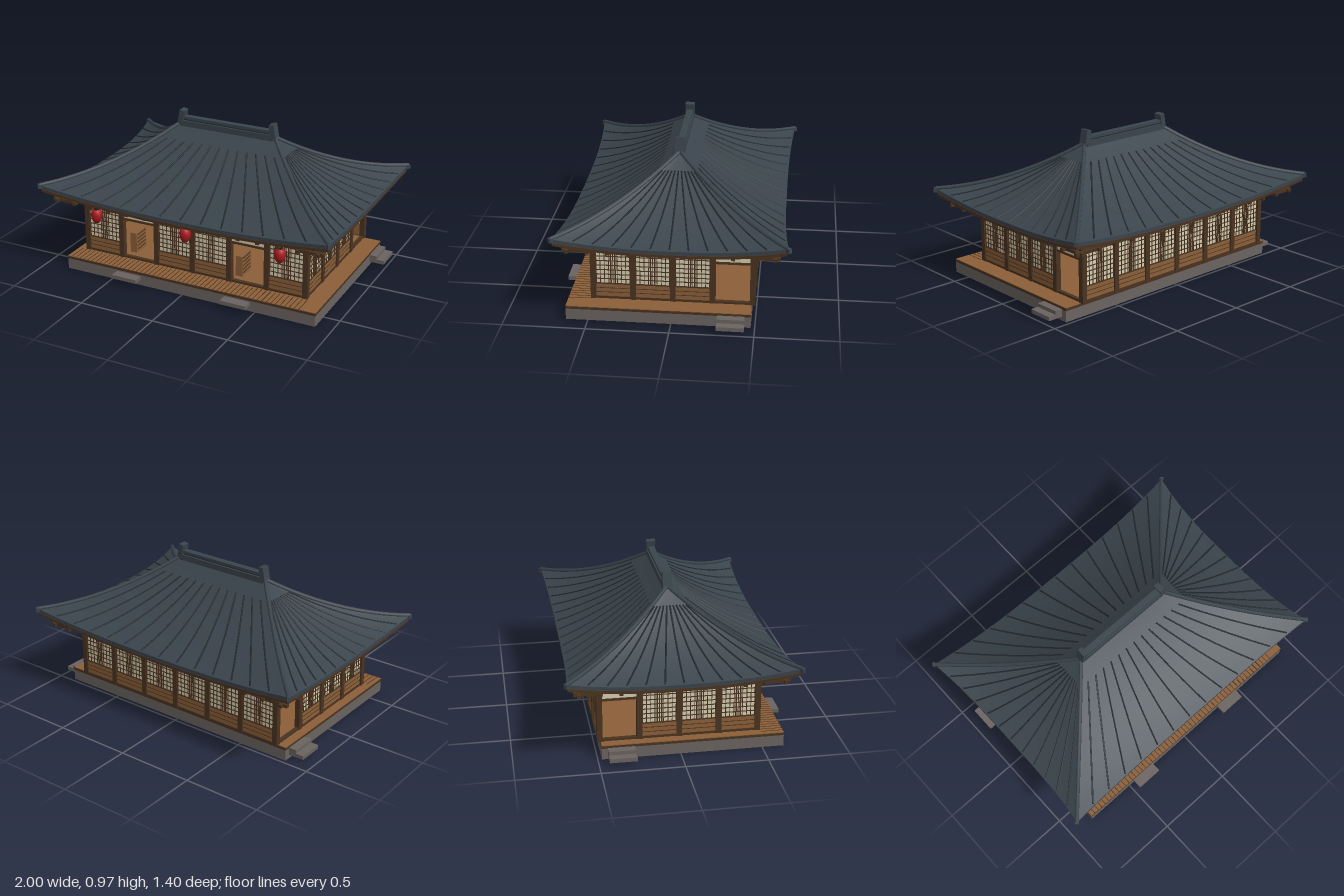
import * as THREE from 'three';
import { mergeGeometries } from 'three/addons/utils/BufferGeometryUtils.js';

const mat = (name, color, side = THREE.FrontSide) => {
  const m = new THREE.MeshStandardMaterial({ color, side });
  m.name = name;
  return m;
};

export function createModel() {
  const tile = mat('slate tile', 0x3a444c, THREE.DoubleSide);
  const rib = mat('dark rib', 0x22292f);
  const darkWood = mat('dark wood', 0x4a3320, THREE.DoubleSide);
  const wood = mat('light wood', 0x8b5f38);
  const paper = mat('paper', 0xd6ceb2);
  const stone = mat('stone', 0x6a6360);
  const red = mat('lantern red', 0xa81a1e);
  const black = mat('black metal', 0x1c1815);

  const model = new THREE.Group();
  const add = (parent, name, geo, material) => {
    const mesh = new THREE.Mesh(geo, material);
    mesh.name = name;
    parent.add(mesh);
    return mesh;
  };
  // One mesh from a list of boxes given as [x0, x1, y0, y1, z0, z1]
  const boxes = (parent, name, material, list) => add(parent, name, mergeGeometries(list.map(
    ([a, b, c, d, e, f]) => new THREE.BoxGeometry(b - a, d - c, f - e)
      .translate((a + b) / 2, (c + d) / 2, (e + f) / 2))), material);

  // Stone base, steps and deck
  const X0 = -0.834, X1 = 0.893, Z0 = -0.476, Z1 = 0.633;
  boxes(model, 'stoneBase', stone, [[X0, X1, 0, 0.07, Z0, Z1]]);
  boxes(model, 'frontSteps', stone, [-0.38, 0.38].map(x => [x - 0.085, x + 0.085, 0.037, 0.062, Z1, 0.697]));
  boxes(model, 'sideSteps', stone, [
    [X1, 0.992, 0.025, 0.05, -0.44, -0.275], [X1, 0.942, 0.05, 0.073, -0.44, -0.275],
    [-0.935, X0, 0.025, 0.05, -0.44, -0.275], [-0.885, X0, 0.05, 0.073, -0.44, -0.275]]);
  boxes(model, 'deckEdge', darkWood, [[X0, X1, 0.07, 0.086, Z0, Z1]]);
  boxes(model, 'deckBoards', wood, [[X0, X1, 0.086, 0.09, Z0, Z1]]);
  boxes(model, 'interiorFloor', wood, [[-0.765, 0.765, 0.088, 0.1, -0.48, 0.465]]);
  const seams = [];
  for (let x = X0 + 0.03; x < X1 - 0.1; x += 0.03) seams.push([x - 0.0025, x + 0.0025, 0.09, 0.091, 0.5, Z1]);
  boxes(model, 'deckSeams', darkWood, seams);

  // Wall built facing +z, then turned; open bays have no screens
  const wall = (name, n, half, dist, reach, open, turn, corners) => {
    const g = new THREE.Group();
    g.name = name;
    g.rotation.y = turn;
    model.add(g);
    const w = 2 * half / n, frame = [], sheets = [], boards = [], bars = [], rafters = [];
    for (let i = corners ? 0 : 1; i <= (corners ? n : n - 1); i++) {
      const u = -half + i * w;
      frame.push([u - 0.017, u + 0.017, 0.088, 0.53, dist - 0.017, dist + 0.017]);
    }
    frame.push([-half, half, 0.088, 0.104, dist - 0.012, dist + 0.012],
      [-half, half, 0.402, 0.423, dist - 0.013, dist + 0.013],
      [-half, half, 0.46, 0.53, dist - 0.013, dist + 0.013]);
    for (let i = 0; i < n; i++) {
      const a = -half + i * w + 0.017, b = a + w - 0.034, mid = (a + b) / 2, zf = dist + 0.004;
      if (corners) sheets.push([a, b, 0.423, 0.46, dist - 0.004, dist + 0.004]);
      if (open.includes(i)) {
        frame.push([a, b, 0.352, 0.366, dist - 0.01, dist + 0.01]);
        sheets.push([a, b, 0.366, 0.402, dist - 0.004, dist + 0.004]);
        continue;
      }
      sheets.push([a, b, 0.187, 0.402, dist - 0.004, dist + 0.004]);
      boards.push([a, b, 0.104, 0.187, dist - 0.007, dist + 0.007]);
      // Lattice, with the two sliding frames overlapping in the middle
      for (let k = 0; k <= 8; k++) {
        const u = a + (b - a) * k / 8, r = k % 8 === 0 ? 0.004 : 0.002;
        bars.push([u - r, u + r, 0.187, 0.402, zf, zf + 0.004]);
      }
      for (const u of [mid - 0.013, mid + 0.013]) bars.push([u - 0.004, u + 0.004, 0.187, 0.402, zf, zf + 0.006]);
      for (let k = 0; k <= 7; k++) {
        const y = 0.19 + k * 0.03;
        bars.push([a, b, y - 0.0025, y + 0.0025, zf, zf + 0.004]);
      }
      for (const y of [0.131, 0.159, 0.187]) bars.push([a, b, y - 0.002, y + 0.002, dist, dist + 0.0085]);
    }
    const count = Math.round(2 * (half + 0.13) / 0.128);
    for (let i = 0; i <= count; i++) {
      const u = (half + 0.13) * (2 * i / count - 1);
      rafters.push([u - 0.011, u + 0.011, 0.455, 0.475, dist - 0.01, reach]);
    }
    boxes(g, 'postsAndBeams', darkWood, frame);
    boxes(g, 'paperScreens', paper, sheets);
    boxes(g, 'lowerBoards', wood, boards);
    boxes(g, 'lattice', darkWood, bars);
    boxes(g, 'rafters', darkWood, rafters);
  };
  wall('frontWall', 6, 0.765, 0.48, 0.64, [1, 4], 0, true);
  wall('backWall', 6, 0.765, 0.48, 0.64, [], Math.PI, true);
  wall('leftWall', 4, 0.48, 0.765, 0.93, [3], Math.PI / 2, false);
  wall('rightWall', 4, 0.48, 0.765, 0.93, [0], -Math.PI / 2, false);

  // Drawer chests inside the two front openings
  for (const x of [-0.49, 0.267]) {
    boxes(model, 'chest', wood, [[x, x + 0.046, 0.1, 0.235, 0.3, 0.42]]);
    boxes(model, 'chestDrawerLines', darkWood, [0.125, 0.15, 0.175, 0.2, 0.225].map(
      y => [x + 0.045, x + 0.049, y - 0.003, y + 0.003, 0.31, 0.41]));
  }

  // Curved hip roof: t runs from ridge to eave, s from hip to hip
  const height = (t, s) => 0.885 - 0.545 * t + (0.165 + 0.067 * Math.abs(s) ** 2.5) * t * t;
  const slopes = {
    long: (t, s, dy = 0) => new THREE.Vector3(s * (0.33 + 0.655 * t), height(t, s) + dy, t * (0.655 + 0.03 * Math.abs(s) ** 3)),
    end: (t, s, dy = 0) => new THREE.Vector3(0.33 + t * (0.615 + 0.04 * Math.abs(s) ** 3), height(t, s) + dy, -s * 0.685 * t),
  };
  const patch = (f, nu, nv) => {
    const pos = [], idx = [];
    for (let j = 0; j <= nv; j++) for (let i = 0; i <= nu; i++) pos.push(...f(i / nu, j / nv).toArray());
    for (let j = 0; j < nv; j++) for (let i = 0; i < nu; i++) {
      const a = j * (nu + 1) + i, b = a + nu + 1;
      idx.push(a, b, a + 1, a + 1, b, b + 1);
    }
    const geo = new THREE.BufferGeometry();
    geo.setAttribute('position', new THREE.Float32BufferAttribute(pos, 3));
    geo.setIndex(idx);
    geo.computeVertexNormals();
    return geo;
  };
  const tube = (f, t0, t1, r, sides) => new THREE.TubeGeometry(new THREE.CatmullRomCurve3(
    Array.from({ length: 9 }, (_, i) => f(t0 + (t1 - t0) * i / 8))), 16, r, sides);
  const roof = new THREE.Group();
  roof.name = 'roof';
  model.add(roof);
  for (const [key, nRibs] of [['long', 7], ['end', 6]]) for (const turn of [0, Math.PI]) {
    const P = slopes[key], side = new THREE.Group();
    side.name = key + 'Slope';
    side.rotation.y = turn;
    roof.add(side);
    add(side, 'tiles', patch((u, v) => P(v, 2 * u - 1), 32, 16), tile);
    add(side, 'tileEdge', patch((u, v) => P(1, 2 * u - 1, -0.022 * v), 32, 1), tile);
    add(side, 'eaveBoard', patch((u, v) => P(0.99, 2 * u - 1, -0.015 - 0.032 * v), 32, 1), darkWood);
    add(side, 'soffit', patch((u, v) => P(1 - 0.33 * v, 2 * u - 1, -0.024 - 0.012 * v), 32, 6), darkWood);
    const ribs = [];
    for (let i = 1 - nRibs; i < nRibs; i++) ribs.push(tube(t => P(t, i / nRibs), 0.17, 0.985, 0.0055, 5));
    add(side, 'tileRibs', mergeGeometries(ribs), rib);
    // Hip ridge with its end cap
    add(side, 'hipRidge', tube(t => P(t, key === 'long' ? 1 : -1, 0.002), 0, 1, 0.013, 6), tile).visible = key === 'long';
    if (key === 'long') {
      add(side, 'hipRidgeMirrored', tube(t => P(t, -1, 0.002), 0, 1, 0.013, 6), tile);
      for (const s of [-1, 1]) {
        const cap = add(side, 'hipEndCap', new THREE.BoxGeometry(0.024, 0.028, 0.024), tile);
        cap.position.copy(P(1, s, -0.008));
        cap.rotation.y = Math.PI / 4;
      }
    }
  }
  // Main ridge and its end ornaments
  boxes(roof, 'ridge', tile, [[-0.33, 0.33, 0.865, 0.903, -0.026, 0.026], [-0.31, 0.31, 0.912, 0.93, -0.021, 0.021]]);
  boxes(roof, 'ridgeCore', rib, [[-0.31, 0.31, 0.9, 0.914, -0.014, 0.014]]);
  for (const s of [-1, 1]) {
    const end = add(roof, 'ridgeEnd', new THREE.BoxGeometry(0.034, 0.092, 0.058), tile);
    end.position.set(s * 0.322, 0.925, 0);
    end.rotation.z = s * 0.18;
  }

  // Hanging lanterns
  const profile = [[0.016, -0.045], [0.027, -0.034], [0.034, -0.015], [0.037, 0.005], [0.034, 0.022], [0.027, 0.035], [0.016, 0.042]]
    .map(([r, y]) => new THREE.Vector2(r, y));
  for (const x of [-0.635, 0, 0.635]) {
    const lantern = new THREE.Group();
    lantern.name = 'lantern';
    lantern.position.set(x, 0.392, 0.58);
    add(lantern, 'lanternBody', new THREE.LatheGeometry(profile, 16), red);
    for (const y of [-0.044, 0.042]) {
      add(lantern, 'lanternCap', new THREE.CylinderGeometry(0.017, 0.017, 0.007, 12), black).position.y = y;
    }
    add(lantern, 'lanternCord', new THREE.CylinderGeometry(0.002, 0.002, 0.08, 5), black).position.y = 0.08;
    model.add(lantern);
  }
  return model;
}
